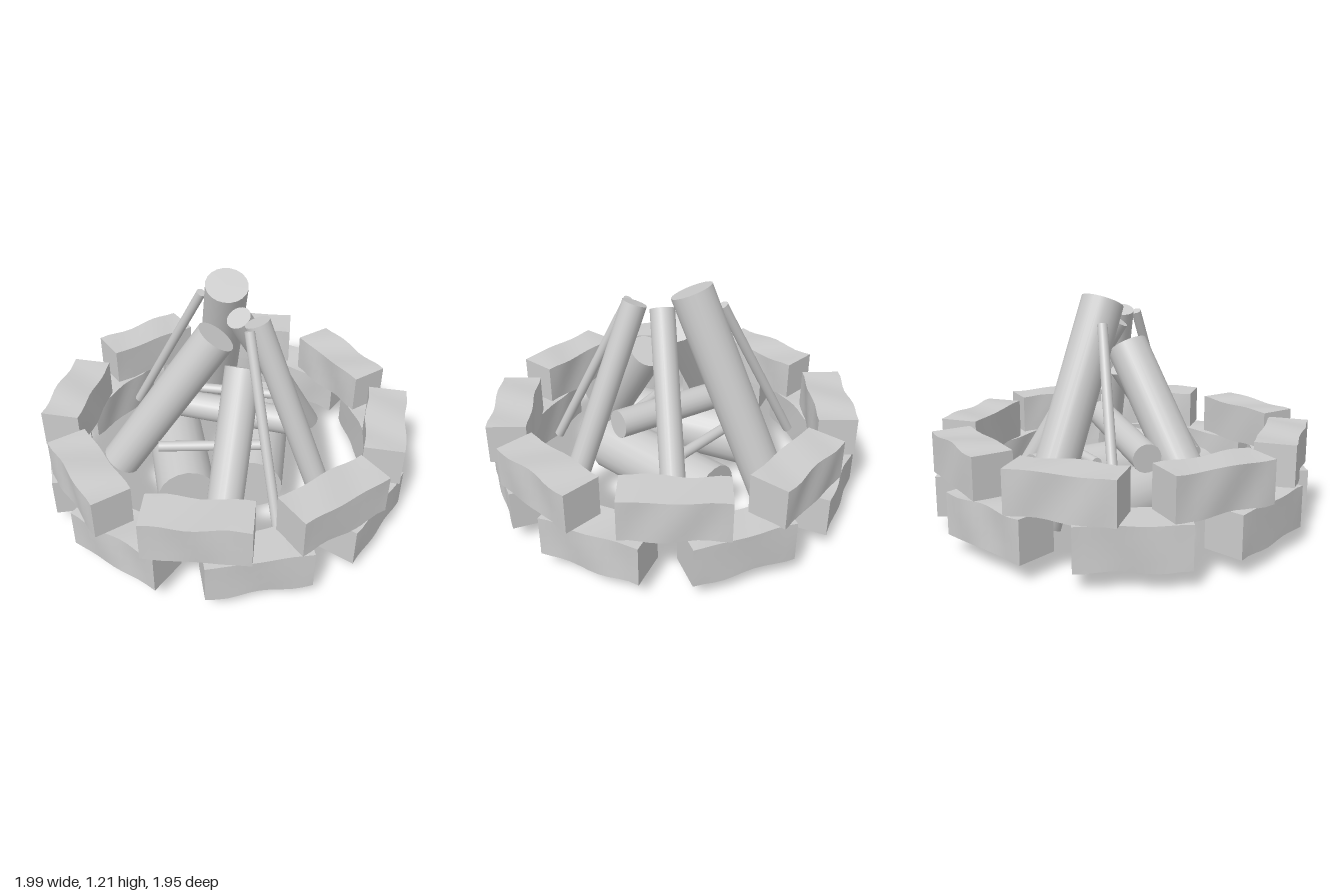
import * as THREE from 'three';

const material = new THREE.MeshStandardMaterial({ color: 0xcccccc });

// Rough-hewn stone: a box whose surface is pushed by smooth waves.
function stone(name, x, y, z, yaw, seed) {
  const geo = new THREE.BoxGeometry(0.525, 0.215, 0.205, 10, 4, 4);
  const p = geo.attributes.position;
  for (let i = 0; i < p.count; i++) {
    const a = p.getX(i), b = p.getY(i), c = p.getZ(i);
    const inner = 1 - Math.pow(Math.abs(a) / 0.2625, 4);
    p.setXYZ(i,
      a,
      b + 0.007 * inner * Math.sin(a * 14 + c * 9 + seed),
      c + 0.007 * inner * Math.sin(a * 17 + b * 12 + seed * 2.3));
  }
  geo.computeVertexNormals();
  const mesh = new THREE.Mesh(geo, material);
  mesh.name = name;
  mesh.position.set(x, y, z);
  mesh.rotation.y = yaw;
  return mesh;
}

// Round log or stick between two end points.
function log(name, from, to, radius) {
  const a = new THREE.Vector3(...from), b = new THREE.Vector3(...to);
  const dir = b.clone().sub(a);
  const mesh = new THREE.Mesh(
    new THREE.CylinderGeometry(radius, radius, dir.length(), 20, 1), material);
  mesh.name = name;
  mesh.position.copy(a).add(b).multiplyScalar(0.5);
  mesh.quaternion.setFromUnitVectors(new THREE.Vector3(0, 1, 0), dir.normalize());
  return mesh;
}

export function createModel() {
  const model = new THREE.Group();
  model.name = 'campfire';

  // Lower ring: eight stones at regular angles
  const lower = new THREE.Group();
  lower.name = 'lowerStoneRing';
  for (let i = 0; i < 8; i++) {
    const t = i * Math.PI / 4;
    lower.add(stone('lowerStone', -0.01 + 0.855 * Math.sin(t), 0.2,
      -0.01 + 0.855 * Math.cos(t), t, i * 1.7));
  }
  model.add(lower);

  // Upper ring: staggered stones, each [x, z, yaw in degrees]
  const upper = new THREE.Group();
  upper.name = 'upperStoneRing';
  [
    [-0.38, -0.78, 25], [0.27, -0.80, -15], [0.74, -0.36, -67], [0.80, 0.28, 69],
    [0.385, 0.745, 25], [-0.28, 0.80, -15], [-0.765, 0.385, -67], [-0.81, -0.275, 69],
  ].forEach(([x, z, deg], i) =>
    upper.add(stone('upperStone', x, 0.417, z, deg * Math.PI / 180, i * 2.1 + 0.6)));
  model.add(upper);

  // Logs lying on the ground and across each other
  const bed = new THREE.Group();
  bed.name = 'lyingLogs';
  bed.add(
    log('thickLyingLog', [-0.275, 0.195, -0.4], [-0.275, 0.195, 0.34], 0.155),
    log('thickLyingLog', [0.29, 0.195, -0.38], [0.08, 0.195, 0.32], 0.155),
    log('crossLog', [-0.37, 0.43, -0.22], [0.3, 0.48, 0.16], 0.075),
    log('crossStick', [-0.4, 0.39, 0.15], [0.18, 0.39, 0.235], 0.028),
    log('crossStick', [-0.15, 0.39, -0.35], [0.3, 0.39, -0.2], 0.028));
  model.add(bed);

  // Leaning logs that meet at the top
  const tepee = new THREE.Group();
  tepee.name = 'leaningLogs';
  tepee.add(
    log('backLog', [0.015, 0.09, -0.595], [0.015, 1.17, -0.125], 0.112),
    log('rightSideLog', [-0.6, 0.15, -0.06], [-0.06, 0.935, -0.02], 0.108),
    log('frontLog', [-0.125, 0.12, 0.53], [0.06, 0.81, 0.1], 0.095),
    log('frontLeftLog', [0.48, 0.026, 0.39], [0.12, 1.1, 0.14], 0.065),
    log('backLeftLog', [0.545, 0.1, -0.28], [0.05, 1.06, 0.02], 0.065),
    log('frontStick', [0.14, 0.2, 0.64], [0.07, 1.09, 0.2], 0.026),
    log('backStick', [-0.46, 0.2, -0.545], [-0.1, 1.07, -0.25], 0.026));
  model.add(tepee);

  return model;
}
